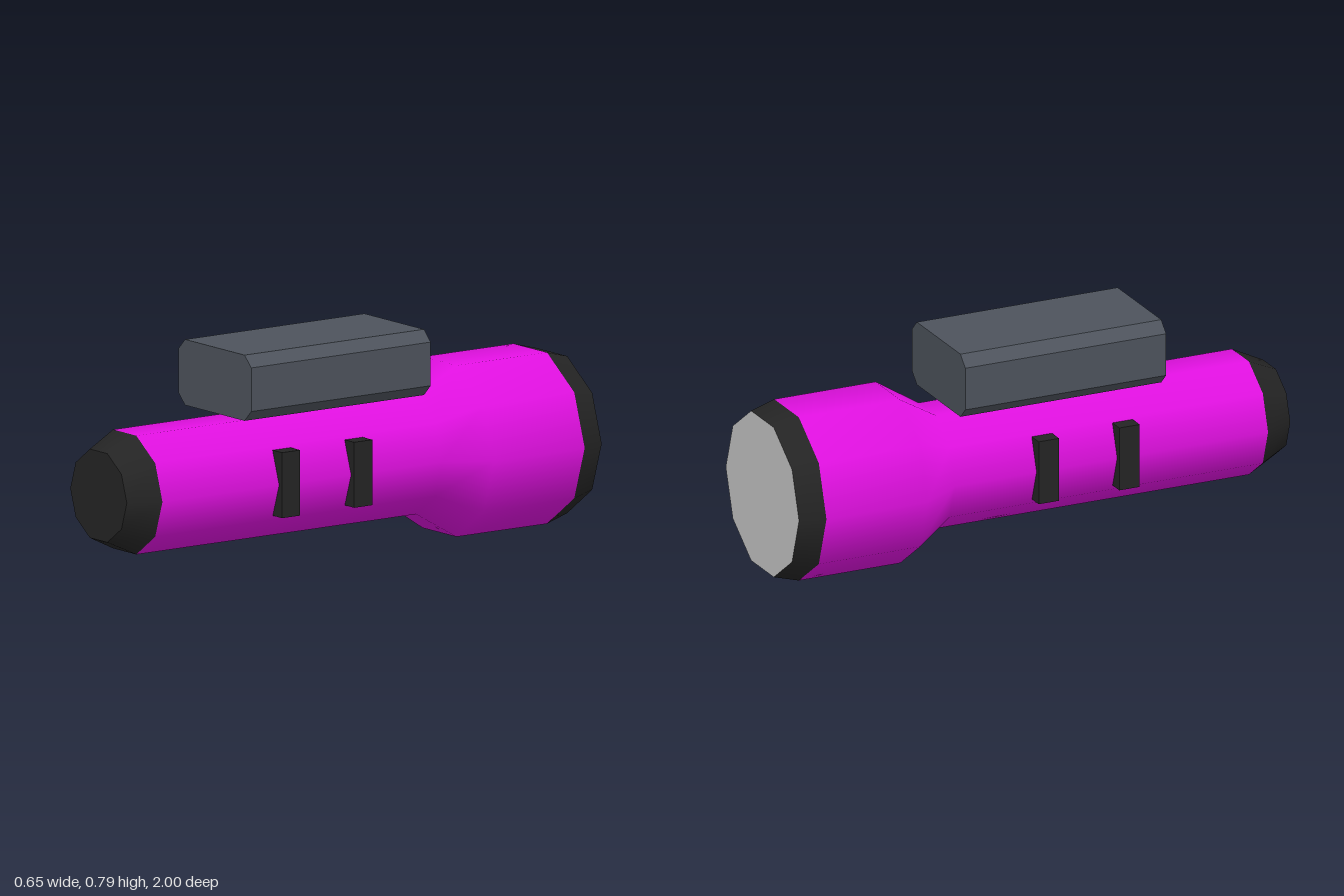
import * as THREE from 'three';

const SIDES = 10;
const AXIS_Y = 0.31;

function material(name, color) {
  const m = new THREE.MeshStandardMaterial({ color });
  m.name = name;
  return m;
}

export function createModel() {
  const group = new THREE.Group();
  group.name = 'flashlight';
  const magenta = material('magenta', 0xe010e0);
  const black = material('black', 0x242424);
  const slate = material('slate grey', 0x4d535c);
  const glass = material('light grey', 0xc8c8c8);

  function add(name, geometry, mat, x = 0, y = 0, z = 0) {
    const mesh = new THREE.Mesh(geometry, mat);
    mesh.name = name;
    mesh.position.set(x, y, z);
    group.add(mesh);
  }

  // Ten-sided shell around the z axis from [radius, z] pairs, z increasing
  function shell(profile) {
    const points = profile.map(([r, z]) => new THREE.Vector2(r, z));
    return new THREE.LatheGeometry(points, SIDES, Math.PI / 2).rotateX(Math.PI / 2);
  }

  // Barrel flaring into the lamp head
  add('body', shell([[0.326, -0.905], [0.326, -0.505], [0.226, -0.35], [0.226, 0.885]]), magenta, 0, AXIS_Y);

  // Rim and lens at the lamp end
  add('lensRim', shell([[0.299, -1], [0.326, -0.905]]), black, 0, AXIS_Y);
  add('lens', new THREE.CircleGeometry(0.299, SIDES).rotateY(Math.PI), glass, 0, AXIS_Y, -1);

  // Tapered end cap
  add('endCap', shell([[0.226, 0.885], [0.169, 1]]), black, 0, AXIS_Y);
  add('endCapFace', new THREE.CircleGeometry(0.169, SIDES), black, 0, AXIS_Y, 1);

  // Cross bars poking out of both sides of the barrel
  for (const z of [0.33, 0.012]) {
    add('crossBar', new THREE.BoxGeometry(0.488, 0.237, 0.08), black, 0, 0.312, z);
  }

  // Chamfered block above the barrel
  const w = 0.218, h = 0.119, c = 0.04;
  const section = new THREE.Shape([
    [-w + c, -h], [w - c, -h], [w, -h + c], [w, h - c],
    [w - c, h], [-w + c, h], [-w, h - c], [-w, -h + c],
  ].map(([x, y]) => new THREE.Vector2(x, y)));
  add('topBlock', new THREE.ExtrudeGeometry(section, { depth: 0.792, bevelEnabled: false }), slate, 0, 0.668, -0.305);

  return group;
}
